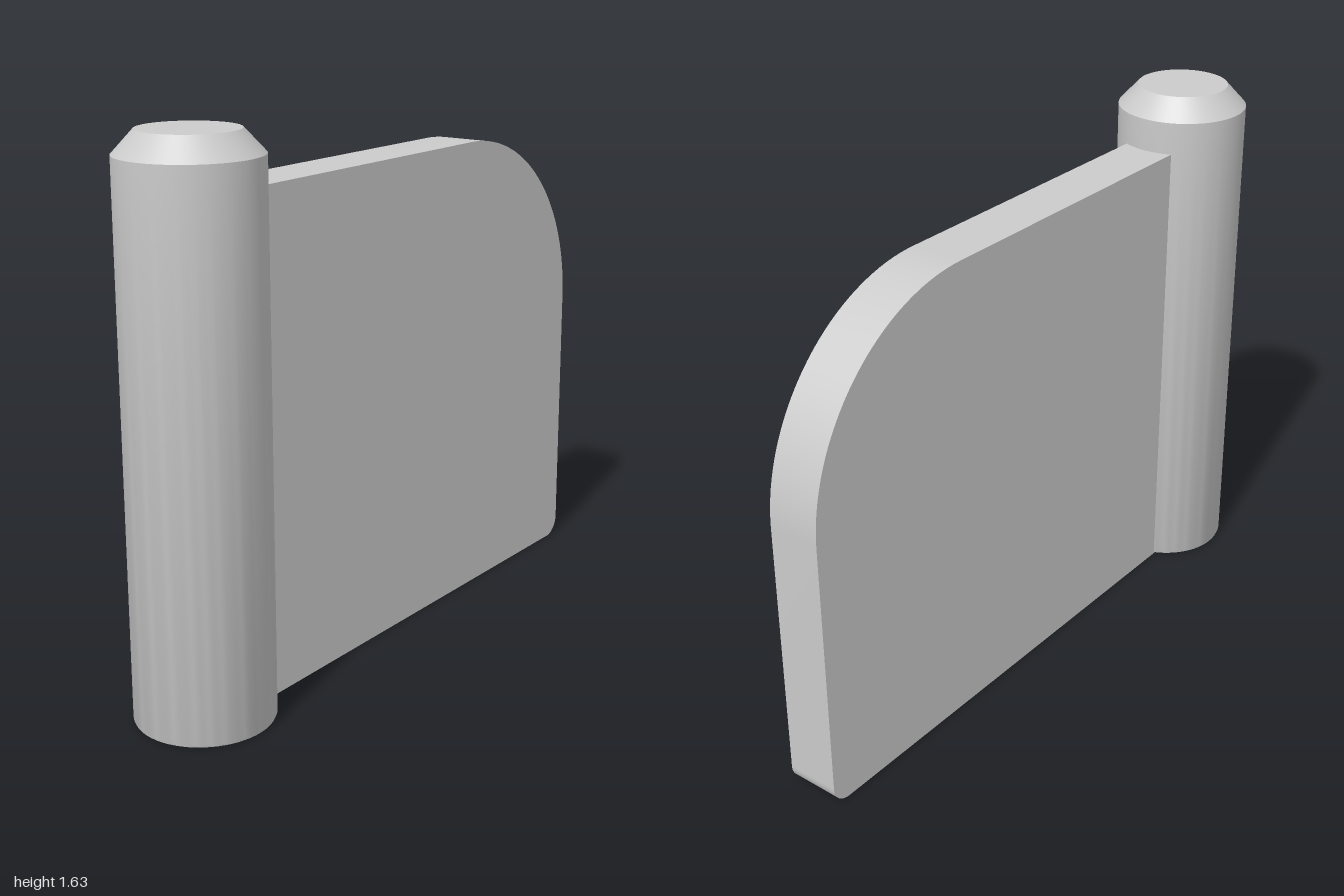
import * as THREE from 'three';
import { toCreasedNormals } from 'three/addons/utils/BufferGeometryUtils.js';

const PIN_X = -0.8;
const PLATE = { right: 1, top: 1.47, depth: 0.165, bigR: 0.6, smallR: 0.06 };

function addPart(group, name, geometry, material) {
  const mesh = new THREE.Mesh(toCreasedNormals(geometry, 0.5), material);
  mesh.name = name;
  group.add(mesh);
  return mesh;
}

export function createModel() {
  const group = new THREE.Group();
  group.name = 'hingeLeaf';
  const material = new THREE.MeshStandardMaterial({ color: 0xcccccc });

  // Barrel: chamfered top, slight bevel at the foot
  const profile = [
    [0, 0], [0.19, 0], [0.197, 0.003], [0.2, 0.01],
    [0.2, 1.57], [0.14, 1.635], [0, 1.635],
  ].map(([r, y]) => new THREE.Vector2(r, y));
  addPart(group, 'barrel', new THREE.LatheGeometry(profile, 64), material).position.x = PIN_X;

  // Plate: large round upper corner, small round lower corner, rooted in the barrel
  const { right, top, depth, bigR, smallR } = PLATE;
  const outline = new THREE.Shape();
  outline.moveTo(PIN_X, 0);
  outline.lineTo(right - smallR, 0);
  outline.absarc(right - smallR, smallR, smallR, -Math.PI / 2, 0, false);
  outline.lineTo(right, top - bigR);
  outline.absarc(right - bigR, top - bigR, bigR, 0, Math.PI / 2, false);
  outline.lineTo(PIN_X, top);
  outline.closePath();
  const plate = new THREE.ExtrudeGeometry(outline, { depth, bevelEnabled: false, curveSegments: 24 });
  plate.translate(0, 0, -depth / 2);
  addPart(group, 'plate', plate, material);

  return group;
}
